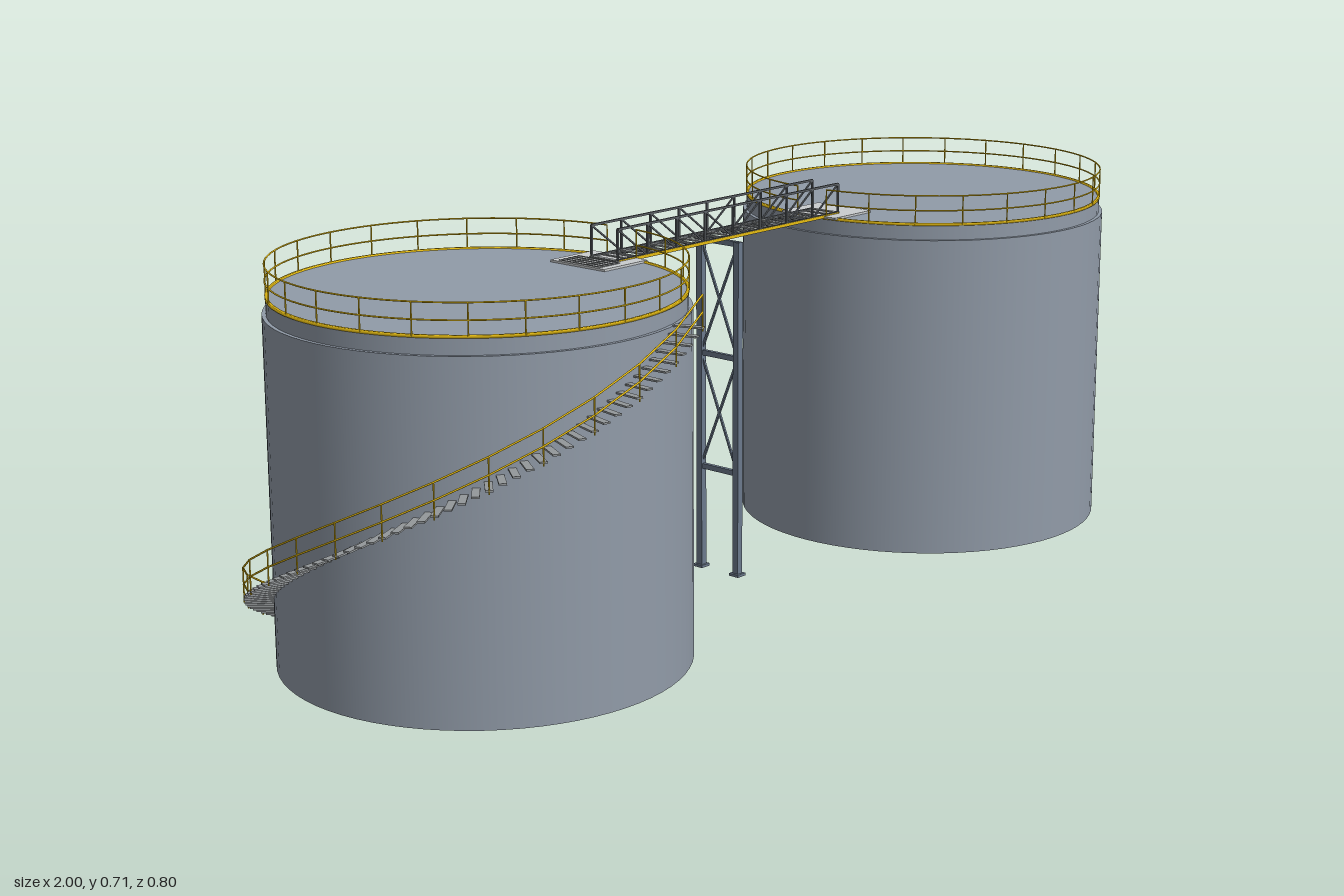
import * as THREE from 'three';
import { mergeGeometries } from 'three/addons/utils/BufferGeometryUtils.js';

const mat = (name, color) => new THREE.MeshStandardMaterial({ name, color });
const V = (x, y, z) => new THREE.Vector3(x, y, z);

// Square bar from a to b
function bar(a, b, t = 0.003, w = t) {
  const g = new THREE.BoxGeometry(t, w, a.distanceTo(b));
  const m = new THREE.Matrix4().lookAt(b, a, Math.abs(b.y - a.y) > 0.99 * a.distanceTo(b) ? V(1, 0, 0) : V(0, 1, 0));
  m.setPosition(a.clone().add(b).multiplyScalar(0.5));
  return g.applyMatrix4(m);
}
// Round rod from a to b
function rod(a, b, r = 0.0013) {
  const dir = b.clone().sub(a), mid = a.clone().add(b).multiplyScalar(0.5);
  const turn = new THREE.Quaternion().setFromUnitVectors(V(0, 1, 0), dir.clone().normalize());
  return new THREE.CylinderGeometry(r, r, dir.length(), 14).applyQuaternion(turn).translate(mid.x, mid.y, mid.z);
}
const box = (w, h, d, x, y, z) => new THREE.BoxGeometry(w, h, d).translate(x, y, z);

export function createModel() {
  const root = new THREE.Group();
  root.name = 'storageTanks';
  const shell = mat('tankGrey', 0x919ba8);
  const yellow = mat('railYellow', 0xe6bc12);
  const steel = mat('darkSteel', 0x5c6166);
  const blueSteel = mat('supportBlueGrey', 0x6c7a8c);
  const grating = mat('gratingGrey', 0x94989a);
  const plate = mat('platformGrey', 0xcacdcf);
  const add = (name, geoms, material, parent = root) => {
    const mesh = new THREE.Mesh(Array.isArray(geoms) ? mergeGeometries(geoms) : geoms, material);
    mesh.name = name;
    parent.add(mesh);
  };

  const CZ = -0.009, R = 0.359, RT = 0.352, SHOULDER = 0.616, TOP = 0.645, RAIL = 0.7;
  const polar = (r, a, y) => V(r * Math.cos(a), y, r * Math.sin(a));

  // Tank with a guard rail that is open towards the bridge
  function tank(name, x, openAngle) {
    const g = new THREE.Group();
    g.name = name;
    g.position.set(x, 0, CZ);
    root.add(g);
    add('tankBody', new THREE.CylinderGeometry(R, R, SHOULDER, 72).translate(0, SHOULDER / 2, 0), shell, g);
    add('tankTop', new THREE.CylinderGeometry(RT, RT, TOP - SHOULDER, 72)
      .translate(0, (TOP + SHOULDER) / 2, 0), shell, g);
    const gap = 0.1, arc = Math.PI * 2 - gap * 2, posts = 24;
    const ring = y => new THREE.TorusGeometry(RT, 0.0014, 14, 96, arc)
      .rotateX(Math.PI / 2).rotateY(-(openAngle + gap)).translate(0, y, 0);
    const rails = [ring(0.672), ring(RAIL)];
    for (let i = 0; i <= posts; i++) {
      const a = openAngle + gap + arc * i / posts;
      rails.push(rod(polar(RT, a, TOP), polar(RT, a, RAIL)));
    }
    add('guardRail', rails, yellow, g);
    // Flat kick strip around the roof edge
    const inner = RT - 0.004, outer = RT + 0.001, low = TOP - 0.002, high = TOP + 0.003;
    const section = [[inner, low], [outer, low], [outer, high], [inner, high], [inner, low]];
    add('kickStrip', new THREE.LatheGeometry(section.map(p => new THREE.Vector2(...p)), 72), yellow, g);
    return g;
  }
  const rightTank = tank('rightTank', -0.591, 0);
  tank('leftTank', 0.641, Math.PI);

  // Spiral stair around the outside of one tank
  const stair = new THREE.Group();
  stair.name = 'spiralStair';
  rightTank.add(stair);
  const A0 = THREE.MathUtils.degToRad(253), A1 = THREE.MathUtils.degToRad(72), N = 61, RO = 0.408;
  const treads = [], rails = [];
  let last = null;
  for (let i = 0; i < N; i++) {
    const t = i / (N - 1), a = A0 + (A1 - A0) * t, y = 0.008 + t * (SHOULDER - 0.008);
    treads.push(new THREE.BoxGeometry(RO - R + 0.002, 0.003, 0.013)
      .translate((RO + R) / 2, 0, 0).rotateY(-a).translate(0, y, 0));
    // Posts on every fourth tread, joined by straight rails
    if (i % 4 === 0) {
      const foot = polar(RO, a, y - 0.006), mid = polar(RO, a, y + 0.026), top = polar(RO, a, y + 0.055);
      rails.push(rod(foot, top));
      if (last) rails.push(rod(last.mid, mid, 0.0016), rod(last.top, top, 0.0016));
      last = { mid, top };
    }
  }
  add('stairTreads', treads, grating, stair);
  add('stairRail', rails, yellow, stair);

  // Landing plates on the tank roofs
  add('rightLanding', box(0.11, 0.004, 0.13, -0.295, 0.6475, -0.013), plate);
  add('leftLanding', box(0.11, 0.004, 0.13, 0.34, 0.6475, -0.013), plate);
  const grate = [];
  for (let i = 0; i < 5; i++) grate.push(box(0.002, 0.002, 0.1, -0.343 + i * 0.012, 0.65, -0.013));
  for (let i = 0; i < 4; i++) grate.push(box(0.05, 0.002, 0.002, -0.319, 0.65, -0.06 + i * 0.032));
  add('landingGrate', grate, grating);

  // Truss bridge
  const X0 = -0.284, X1 = 0.331, PANELS = 8, step = (X1 - X0) / PANELS;
  const ZS = [-0.041, 0.022], YB = 0.649, YT = 0.706;
  const truss = [], floor = [], strips = [];
  for (const z of ZS) {
    truss.push(bar(V(X0, YB, z), V(X1, YB, z), 0.005, 0.007));
    truss.push(bar(V(X0, YT, z), V(X1, YT, z), 0.004));
    strips.push(box(X1 - X0, 0.005, 0.001, (X0 + X1) / 2, YB, z + Math.sign(z) * 0.003));
    for (let i = 0; i <= PANELS; i++) {
      const x = X0 + i * step;
      truss.push(bar(V(x, YB, z), V(x, YT, z), 0.0035));
      if (i < PANELS) {
        const down = i < PANELS / 2;
        truss.push(bar(V(x, down ? YT : YB, z), V(x + step, down ? YB : YT, z), 0.0028));
      }
    }
  }
  // Floor bars and the zigzag bracing beneath them
  for (let i = 0; i <= PANELS * 3; i++) {
    const x = X0 + (i / 3) * step;
    floor.push(bar(V(x, YB + 0.001, ZS[0]), V(x, YB + 0.001, ZS[1]), i % 3 ? 0.006 : 0.01, 0.003));
  }
  for (let i = 0; i < PANELS * 2; i++) {
    const x = X0 + i * step / 2;
    for (const k of [0, 1]) {
      truss.push(bar(V(x, YB - 0.002, ZS[k]), V(x + step / 2, YB - 0.002, ZS[1 - k]), 0.003));
    }
  }
  add('trussBridge', truss, steel);
  add('bridgeFloor', floor, grating);
  add('bridgeKickStrips', strips, yellow);

  // Support frame under the bridge
  const PX = 0.023, LEGS = [-0.055, 0.035], levels = [0.2, 0.42, 0.636];
  const frame = [];
  for (const z of LEGS) {
    frame.push(box(0.013, 0.64, 0.013, PX, 0.32, z));
    frame.push(box(0.022, 0.005, 0.022, PX, 0.0025, z));
  }
  levels.forEach((y, i) => {
    frame.push(box(0.008, 0.01, 0.1, PX, y, -0.01));
    if (i < 2) {
      frame.push(bar(V(PX, y, LEGS[0]), V(PX, levels[i + 1], LEGS[1]), 0.004));
      frame.push(bar(V(PX, y, LEGS[1]), V(PX, levels[i + 1], LEGS[0]), 0.004));
    }
  });
  add('supportFrame', frame, blueSteel);

  return root;
}
